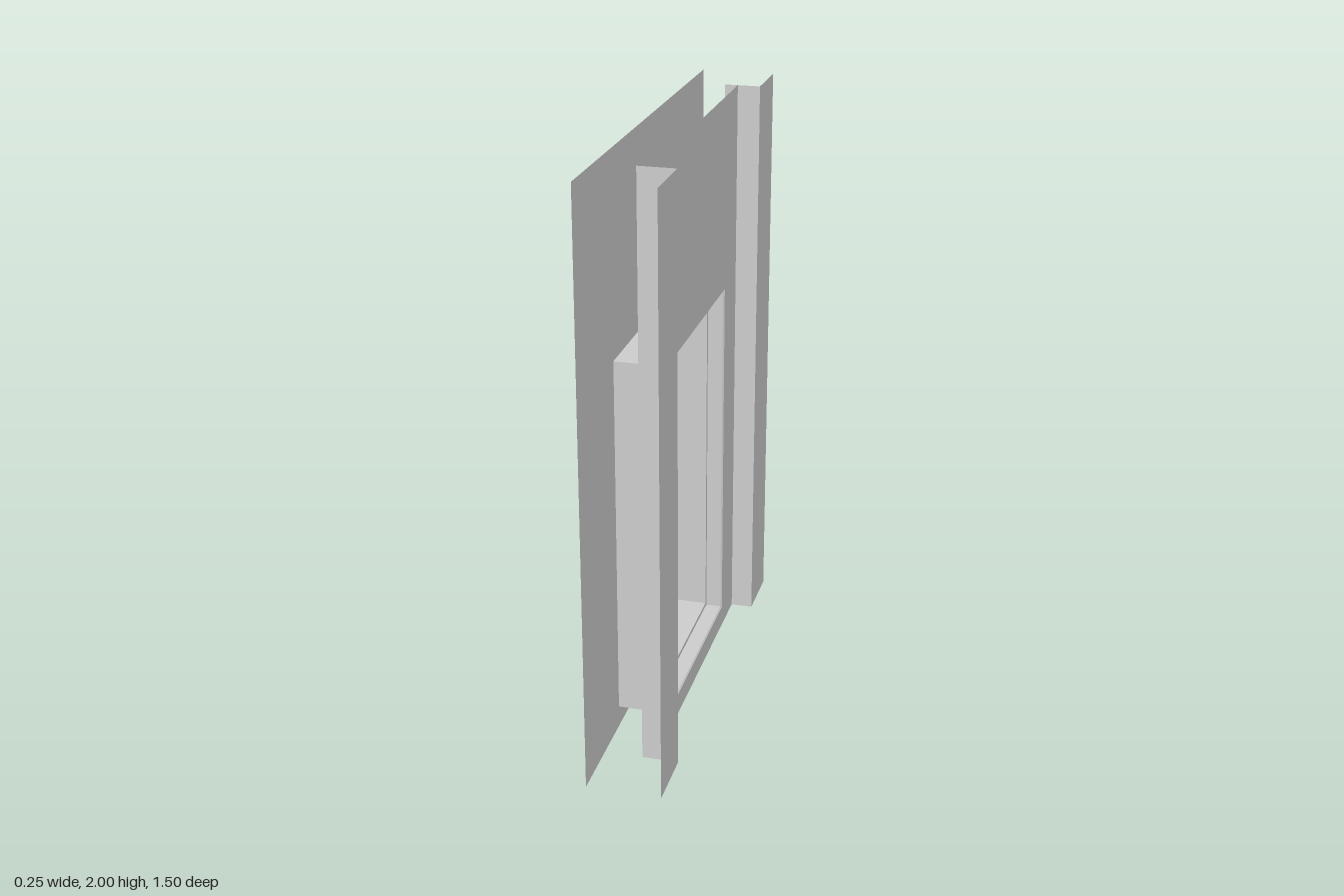
import * as THREE from 'three';

const material = new THREE.MeshStandardMaterial({
  color: 0xcccccc, flatShading: true, side: THREE.DoubleSide,
});

// Opening in the wall: half width, bottom and top
const HALF = 0.378, BOTTOM = 0.075, TOP = 1.325;

const rect = (Type, z0, z1, y0, y1) => new Type([
  new THREE.Vector2(z0, y0), new THREE.Vector2(z1, y0),
  new THREE.Vector2(z1, y1), new THREE.Vector2(z0, y1),
]);

// Thin sheet standing in the yz plane at a given x
function sheet(name, x, z0, z1, hasOpening) {
  const shape = rect(THREE.Shape, z0, z1, 0, 2);
  if (hasOpening) shape.holes.push(rect(THREE.Path, -HALF, HALF, BOTTOM, TOP));
  const mesh = new THREE.Mesh(new THREE.ShapeGeometry(shape).rotateY(-Math.PI / 2), material);
  mesh.position.x = x;
  mesh.name = name;
  return mesh;
}

// Sweep a profile of [x, inset] points around the four sides of the opening
function ring(name, profile) {
  const points = [], index = [];
  for (const [x, d] of profile) {
    const h = HALF - d, b = BOTTOM + d, t = TOP - d;
    points.push(x, b, -h, x, b, h, x, t, h, x, t, -h);
  }
  for (let i = 0; i < profile.length - 1; i++) {
    for (let j = 0; j < 4; j++) {
      const a = i * 4 + j, b = i * 4 + (j + 1) % 4;
      index.push(a, b, a + 4, b, b + 4, a + 4);
    }
  }
  const indexed = new THREE.BufferGeometry();
  indexed.setAttribute('position', new THREE.Float32BufferAttribute(points, 3));
  indexed.setIndex(index);
  const geometry = indexed.toNonIndexed();
  geometry.computeVertexNormals();
  const mesh = new THREE.Mesh(geometry, material);
  mesh.name = name;
  return mesh;
}

export function createModel() {
  const model = new THREE.Group();
  model.name = 'windowWall';

  // Two parallel wall sheets, both cut by the opening
  model.add(sheet('outerWall', -0.125, -0.75, 0.75, true));
  model.add(sheet('innerWall', 0.048, -0.54, 0.54, true));

  // Projecting strips and the returns behind them
  for (const [side, s] of [['left', 1], ['right', -1]]) {
    model.add(sheet(side + 'PierFace', 0.125, s > 0 ? 0.54 : -0.75, s > 0 ? 0.75 : -0.54, false));
    const pierReturn = new THREE.Mesh(new THREE.PlaneGeometry(0.122, 2), material);
    pierReturn.position.set(0.064, 1, s * 0.54);
    pierReturn.name = side + 'PierReturn';
    model.add(pierReturn);
  }

  // Casing between the sheets, and the stepped lining inside it
  model.add(ring('frameCasing', [[0.048, 0], [-0.125, 0]]));
  model.add(ring('frameLining', [
    [0.048, 0], [0.043, 0.005], [-0.01, 0.005],
    [-0.01, 0.018], [-0.12, 0.018], [-0.125, 0],
  ]));
  return model;
}
